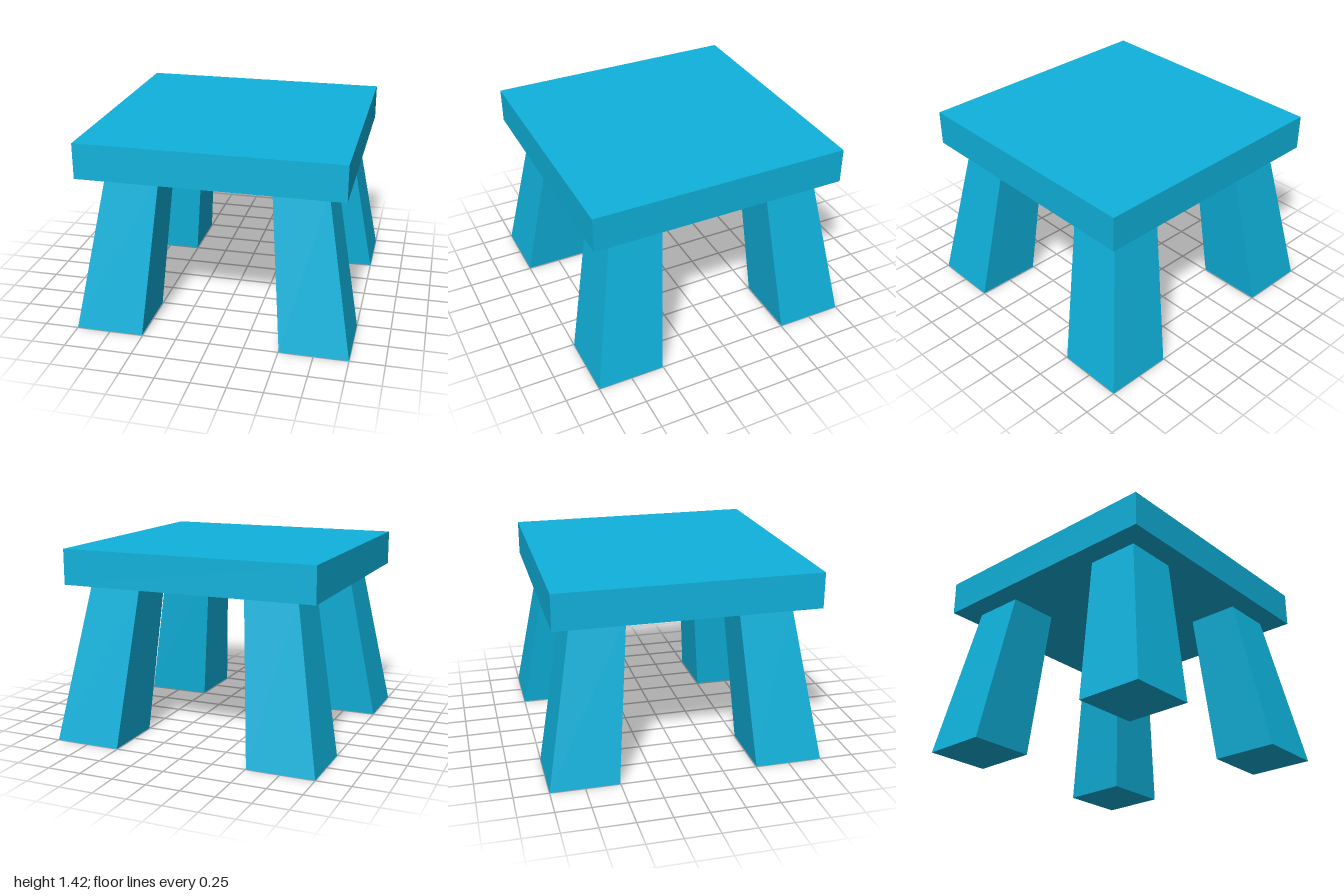
import * as THREE from 'three';

const SEAT_BOTTOM = 1.165;
const SEAT_TOP = 1.425;

// Square leg that tapers and leans inward towards the seat
function legGeometry(sx, sz) {
  const geometry = new THREE.BoxGeometry(1, SEAT_BOTTOM, 1);
  geometry.translate(0, SEAT_BOTTOM / 2, 0);
  const pos = geometry.attributes.position;
  for (let i = 0; i < pos.count; i++) {
    const atTop = pos.getY(i) > 0.5;
    const centre = atTop ? 0.597 : 0.752;
    const width = atTop ? 0.39 : 0.495;
    pos.setX(i, sx * centre + pos.getX(i) * width);
    pos.setZ(i, sz * centre + pos.getZ(i) * width);
  }
  geometry.computeVertexNormals();
  return geometry;
}

export function createModel() {
  const model = new THREE.Group();
  model.name = 'stool';
  const blue = new THREE.MeshStandardMaterial({ color: 0x0fb2dc, flatShading: true });
  blue.name = 'bright blue';

  // Seat slab, set slightly off centre
  const seat = new THREE.Mesh(new THREE.BoxGeometry(1.895, SEAT_TOP - SEAT_BOTTOM, 1.895), blue);
  seat.name = 'seat';
  seat.position.set(-0.014, (SEAT_TOP + SEAT_BOTTOM) / 2, 0.013);
  model.add(seat);

  // Four splayed legs
  for (const sx of [-1, 1]) {
    for (const sz of [-1, 1]) {
      const leg = new THREE.Mesh(legGeometry(sx, sz), blue);
      leg.name = (sz > 0 ? 'front' : 'back') + (sx > 0 ? 'Left' : 'Right') + 'Leg';
      model.add(leg);
    }
  }
  return model;
}
